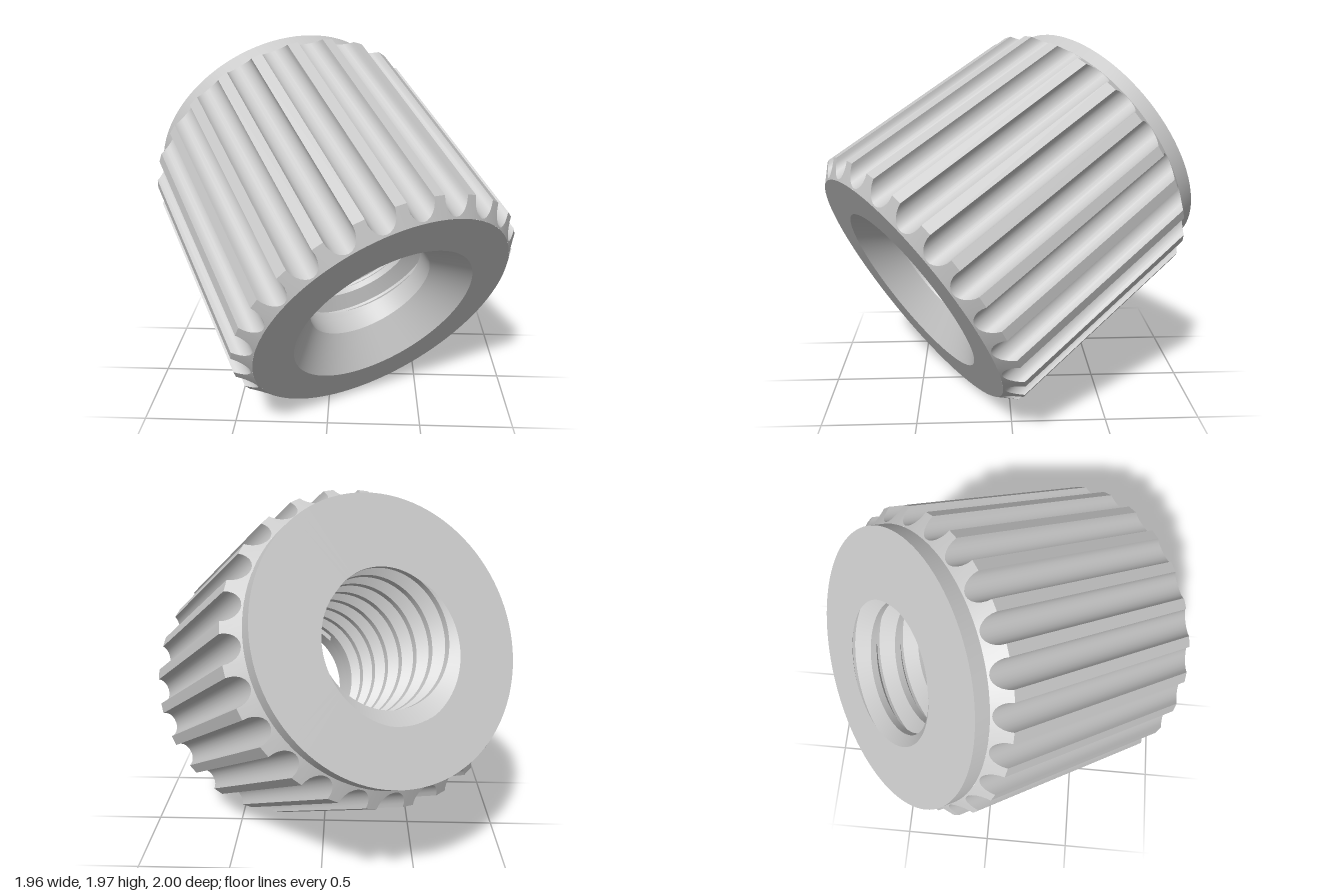
import * as THREE from 'three';
import { toCreasedNormals } from 'three/addons/utils/BufferGeometryUtils.js';

const HALF = 0.7, RIM = 0.72, BORE = 0.345, TEETH = 25, SEGMENTS = 96;
const CREASE = 0.5;
// Thread: pitch, root radius and where a crest sits at angle zero
const PITCH = 0.15, ROOT = 0.43, CREST = -HALF - 0.25 * PITCH;
const THREAD_TOP = HALF - 0.26;

const lathe = (points) => new THREE.LatheGeometry(points.map(([r, y]) => new THREE.Vector2(r, y)), SEGMENTS);

// Grooved grip: each column runs up one chamfer, along the side and down the other chamfer
function gripGeometry() {
  const radius = 0.0715, centre = 0.7985, steps = 12, phase = THREE.MathUtils.degToRad(86.2);
  const columns = [];
  for (let i = 0; i < TEETH; i++) {
    const mid = phase + ((i + 0.5) / TEETH) * Math.PI * 2;
    for (let k = 0; k <= steps; k++) {
      const a = (k / steps - 0.5) * Math.PI;
      const across = radius * Math.sin(a), out = centre - radius * Math.cos(a);
      columns.push([mid + Math.atan2(across, out), Math.hypot(across, out)]);
    }
  }
  columns.push([columns[0][0] + Math.PI * 2, columns[0][1]]);
  const positions = [], index = [];
  columns.forEach(([angle, r], i) => {
    const slope = (r - RIM) * 0.92;
    const profile = [[RIM, -HALF + 0.08], [r, -HALF + 0.08 + slope], [r, HALF - slope], [RIM, HALF]];
    profile.forEach(([pr, y]) => positions.push(pr * Math.sin(angle), y, pr * Math.cos(angle)));
    if (i === columns.length - 1) return;
    for (let j = 0; j < 3; j++) {
      const a = i * 4 + j, b = a + 4;
      index.push(a, b, a + 1, b + 1, a + 1, b);
    }
  });
  const geometry = new THREE.BufferGeometry();
  geometry.setAttribute('position', new THREE.Float32BufferAttribute(positions, 3));
  geometry.setIndex(index);
  return geometry;
}

// Radius of the thread where it breaks through the rear face, u = turn from 0 to 1
function exitRadius(u) {
  const turns = (-HALF - CREST) / PITCH - u;
  const fromCrest = Math.abs(turns - Math.round(turns));
  return BORE + (ROOT - BORE) * THREE.MathUtils.clamp((fromCrest - 0.12) / 0.33, 0, 1);
}

function setRadius(pos, i, r) {
  const s = r / Math.hypot(pos.getX(i), pos.getZ(i));
  pos.setX(i, pos.getX(i) * s);
  pos.setZ(i, pos.getZ(i) * s);
}

// Rear collar, its hole following the thread run-out
function collarGeometry() {
  const geometry = lathe([[BORE, -HALF], [RIM, -HALF], [RIM, -HALF + 0.08]]);
  const pos = geometry.attributes.position, uv = geometry.attributes.uv;
  for (let i = 0; i < pos.count; i += 3) setRadius(pos, i, exitRadius(uv.getX(i)));
  return geometry;
}

// Internal thread: a ridged lathe sheared into a helix and trimmed at both ends
function threadGeometry() {
  const points = [];
  for (let n = 9; n >= -2; n--) {
    const y = CREST + n * PITCH;
    points.push([BORE, y + 0.12 * PITCH], [BORE, y - 0.12 * PITCH], [ROOT, y - 0.45 * PITCH], [ROOT, y - 0.55 * PITCH]);
  }
  const geometry = lathe(points);
  const pos = geometry.attributes.position, uv = geometry.attributes.uv;
  for (let i = 0; i < pos.count; i++) {
    const y = pos.getY(i) + PITCH * uv.getX(i);
    if (y > THREAD_TOP) setRadius(pos, i, BORE);
    if (y < -HALF) setRadius(pos, i, exitRadius(uv.getX(i)));
    pos.setY(i, THREE.MathUtils.clamp(y, -HALF, THREAD_TOP));
  }
  return geometry;
}

export function createModel() {
  const group = new THREE.Group();
  group.name = 'knurledNut';
  const metal = new THREE.MeshStandardMaterial({ color: 0xc8c8c8 });
  metal.name = 'light grey metal';

  const body = new THREE.Group();
  body.name = 'nutBody';
  const add = (name, geometry) => {
    const mesh = new THREE.Mesh(toCreasedNormals(geometry, CREASE), metal);
    mesh.name = name;
    body.add(mesh);
  };

  add('knurledGrip', gripGeometry());
  add('rearCollar', collarGeometry());
  // Front face, countersink and plain start of the bore
  add('frontCountersink', lathe([[RIM, HALF], [0.505, HALF], [BORE, HALF - 0.16], [BORE, THREAD_TOP]]));
  add('innerThread', threadGeometry());

  // Tilt the nut so its countersunk end points forward, right and down
  const axis = new THREE.Vector3(0.454, -0.479, 0.751).normalize();
  const across = new THREE.Vector3(0, 1, 0).addScaledVector(axis, -axis.y).normalize();
  const third = new THREE.Vector3().crossVectors(across, axis);
  body.quaternion.setFromRotationMatrix(new THREE.Matrix4().makeBasis(across, axis, third));
  body.position.set(-0.02, 1, 0);
  group.add(body);
  return group;
}
